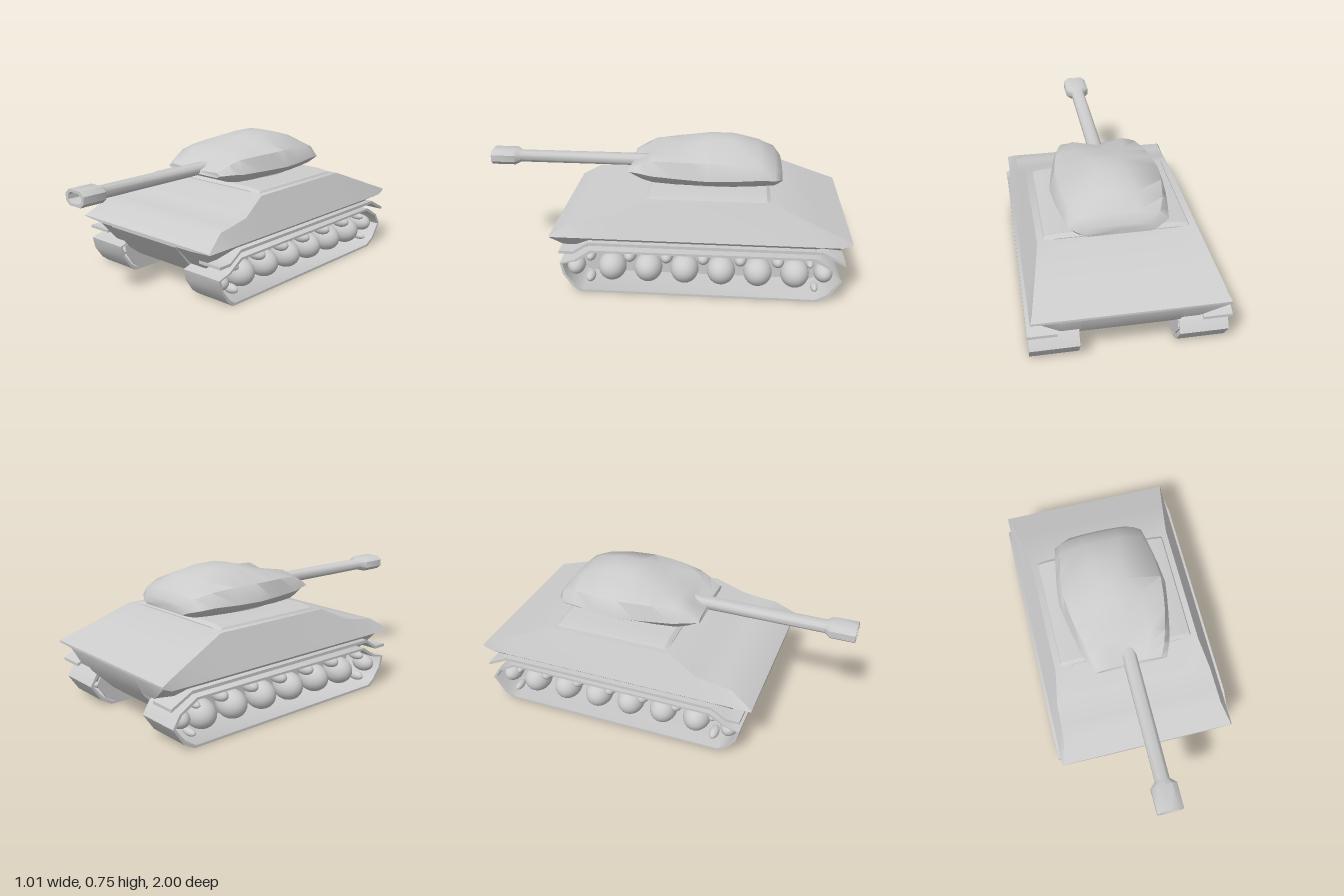
import * as THREE from 'three';
import { toCreasedNormals } from 'three/addons/utils/BufferGeometryUtils.js';

const material = new THREE.MeshStandardMaterial({ color: 0xcccccc, side: THREE.DoubleSide });

function part(name, geometry, parent) {
  const mesh = new THREE.Mesh(geometry, material);
  mesh.name = name;
  parent.add(mesh);
  return mesh;
}

// Full ring from a half profile running bottom centre -> right side -> top centre.
// A point may carry its own z.
function ring(z, half) {
  const right = half.map(([x, y, pz = z]) => [x, y, pz]);
  const left = right.slice(1, -1).reverse().map(([x, y, pz]) => [-x, y, pz]);
  return [...right, ...left];
}

// Eight-sided ring of half-width w and half-height h
function octagon(z, w, h, y) {
  return ring(z, [[0, y - h], [w * 0.6, y - h], [w, y - h * 0.45], [w, y + h * 0.45], [w * 0.6, y + h], [0, y + h]]);
}

// Skin over rings ordered front to back, closed at both ends
function loft(rings, crease) {
  const n = rings[0].length, pos = rings.flat(2), index = [];
  rings.slice(1).forEach((_, r) => {
    for (let i = 0; i < n; i++) {
      const j = (i + 1) % n, a = r * n, b = a + n;
      index.push(b + i, b + j, a + j, b + i, a + j, a + i);
    }
  });
  [0, rings.length - 1].forEach((r, end) => {
    const c = pos.length / 3;
    for (let k = 0; k < 3; k++) pos.push(rings[r].reduce((s, p) => s + p[k], 0) / n);
    for (let i = 0; i < n; i++) {
      const j = (i + 1) % n;
      index.push(c, r * n + (end ? j : i), r * n + (end ? i : j));
    }
  });
  const g = new THREE.BufferGeometry();
  g.setAttribute('position', new THREE.Float32BufferAttribute(pos, 3));
  g.setIndex(index);
  return toCreasedNormals(g, crease);
}

// Side outline in (z, y) extruded across x from x0 to x1
function sidePlate(shape, x0, x1) {
  const g = new THREE.ExtrudeGeometry(shape, { depth: x1 - x0, bevelEnabled: false });
  g.rotateY(-Math.PI / 2).translate(x1, 0, 0);
  return toCreasedNormals(g, 0.7);
}

const outline = (pts) => pts.map(([z, y]) => new THREE.Vector2(z, y));

function addRunningGear(parent, side) {
  const gear = new THREE.Group();
  gear.name = side > 0 ? 'leftRunningGear' : 'rightRunningGear';
  parent.add(gear);
  const across = (shape, a, b) => side > 0 ? sidePlate(shape, a, b) : sidePlate(shape, -b, -a);

  // Track band and its inner wall
  const loop = [[0.42, 0], [0.46, 0.03], [0.51, 0.1], [0.525, 0.165], [0.49, 0.175], [0.45, 0.185], [0.36, 0.245],
    [-0.82, 0.25], [-0.92, 0.19], [-0.96, 0.125], [-0.9, 0.035], [-0.84, 0]];
  const band = new THREE.Shape(outline(loop));
  band.holes.push(new THREE.Path(outline(loop.map(([z, y]) => [-0.22 + (z + 0.22) * 0.98, 0.125 + (y - 0.125) * 0.9]))));
  part('trackBand', across(band, 0.25, 0.5), gear);
  const wall = loop.map(([z, y]) => [-0.22 + (z + 0.22) * 0.95, 0.125 + (y - 0.125) * 0.95]);
  part('trackInnerWall', across(new THREE.Shape(outline(wall)), 0.25, 0.26), gear);

  // Fender strip above the track
  const top = [[0.525, 0.24], [0.45, 0.24], [0.37, 0.293], [-0.85, 0.293], [-0.97, 0.232]];
  const under = top.map(([z, y]) => [z, y - 0.016]).reverse();
  part('fender', across(new THREE.Shape(outline([...top, ...under])), 0.36, 0.507), gear);

  // Domed wheels: [z, y, radius]
  const wheels = [];
  for (let i = 0; i < 6; i++) wheels.push(['roadWheel', 0.257 - i * 0.196, 0.113, 0.076]);
  for (let i = 0; i < 5; i++) wheels.push(['returnRoller', 0.155 - i * 0.196, 0.197, 0.034]);
  wheels.push(['frontIdler', 0.45, 0.12, 0.048], ['driveWheel', -0.87, 0.135, 0.05],
    ['smallRoller', 0.365, 0.19, 0.026], ['smallRoller', 0.37, 0.065, 0.026],
    ['smallRoller', -0.795, 0.195, 0.02], ['smallRoller', -0.825, 0.06, 0.02]);
  for (const [name, z, y, r] of wheels) {
    const depth = 0.03 + r * 0.8;
    const g = new THREE.SphereGeometry(1, 24, 16).scale(depth, r, r);
    part(name, g, gear).position.set(side * (0.485 - depth), y, z);
  }
}

export function createModel() {
  const model = new THREE.Group();
  model.name = 'tank';

  // Hull: belly, sponson underside, wide edge, upper edge, roof
  const hullRing = (z, belly, low, edge, upX, upY, roof = upY) => ring(z, [
    [0, belly], [0.25, belly], [0.25, low], [0.345, low], [0.49, edge], [upX, upY], [upX * 0.7, roof], [0, roof]]);
  part('hull', loft([
    hullRing(0.58, 0.295, 0.3, 0.31, 0.485, 0.315),
    hullRing(0.46, 0.15, 0.17, 0.31, 0.45, 0.39),
    hullRing(0.38, 0.09, 0.17, 0.31, 0.447, 0.4),
    hullRing(0.26, 0.09, 0.17, 0.31, 0.442, 0.42),
    hullRing(0.1, 0.09, 0.17, 0.31, 0.41, 0.5),
    hullRing(-0.6, 0.09, 0.17, 0.31, 0.41, 0.5),
    hullRing(-0.82, 0.09, 0.17, 0.31, 0.45, 0.412),
    hullRing(-0.95, 0.22, 0.23, 0.31, 0.475, 0.36),
    hullRing(-1, 0.325, 0.325, 0.33, 0.488, 0.34),
  ], 0.6), model);

  // Low raised deck under the turret
  const deckRing = (z, y) => ring(z, [[0, 0.48], [0.39, 0.48], [0.37, y], [0.3, y + 0.01], [0, y + 0.01]]);
  part('deckPlate', loft([deckRing(0.08, 0.495), deckRing(0.06, 0.51), deckRing(-0.56, 0.51), deckRing(-0.58, 0.495)], 0.6), model);
  part('turretNeck', new THREE.CylinderGeometry(0.22, 0.22, 0.06, 32).scale(1, 1, 1.4).translate(0, 0.52, -0.26), model);

  // Turret: bottom edge, widest line, shoulder, crown, centre ridge
  const turretRing = (z, [wb, yb], wide, shoulder, crown, ridge) =>
    ring(z, [[0, yb], [wb, yb], wide, shoulder, crown, [0, ...ridge]]);
  part('turret', loft([
    turretRing(0.19, [0.17, 0.572], [0.2, 0.585], [0.17, 0.6], [0.08, 0.602, 0.175], [0.605, 0.12]),
    turretRing(0.12, [0.18, 0.54], [0.23, 0.585], [0.2, 0.635], [0.11, 0.64], [0.625, 0.09]),
    turretRing(0.06, [0.2, 0.53], [0.25, 0.58], [0.22, 0.655], [0.14, 0.682], [0.65]),
    turretRing(-0.06, [0.21, 0.525], [0.275, 0.58], [0.25, 0.665], [0.13, 0.69], [0.69]),
    turretRing(-0.15, [0.215, 0.525], [0.292, 0.58], [0.265, 0.668], [0.11, 0.718], [0.722]),
    turretRing(-0.25, [0.22, 0.525], [0.307, 0.58], [0.275, 0.67], [0.08, 0.74], [0.745]),
    turretRing(-0.38, [0.22, 0.525], [0.295, 0.58], [0.265, 0.668], [0.08, 0.738], [0.742]),
    turretRing(-0.52, [0.21, 0.53], [0.272, 0.583], [0.24, 0.655], [0.1, 0.7], [0.706]),
    turretRing(-0.605, [0.2, 0.535], [0.257, 0.578], [0.21, 0.63], [0.1, 0.645], [0.65]),
    turretRing(-0.645, [0.16, 0.545], [0.19, 0.56], [0.16, 0.588], [0.08, 0.597], [0.6]),
  ], 0.9), model);

  // Gun barrel with a hollow, flattened muzzle
  const y = 0.592;
  part('gun', loft([
    octagon(0.9, 0.045, 0.024, y), octagon(1, 0.05, 0.027, y), octagon(1, 0.07, 0.041, y),
    octagon(0.865, 0.07, 0.041, y), octagon(0.835, 0.039, 0.029, y), octagon(0.05, 0.039, 0.029, y),
  ], 0.85), model);

  for (const side of [1, -1]) addRunningGear(model, side);
  return model;
}
